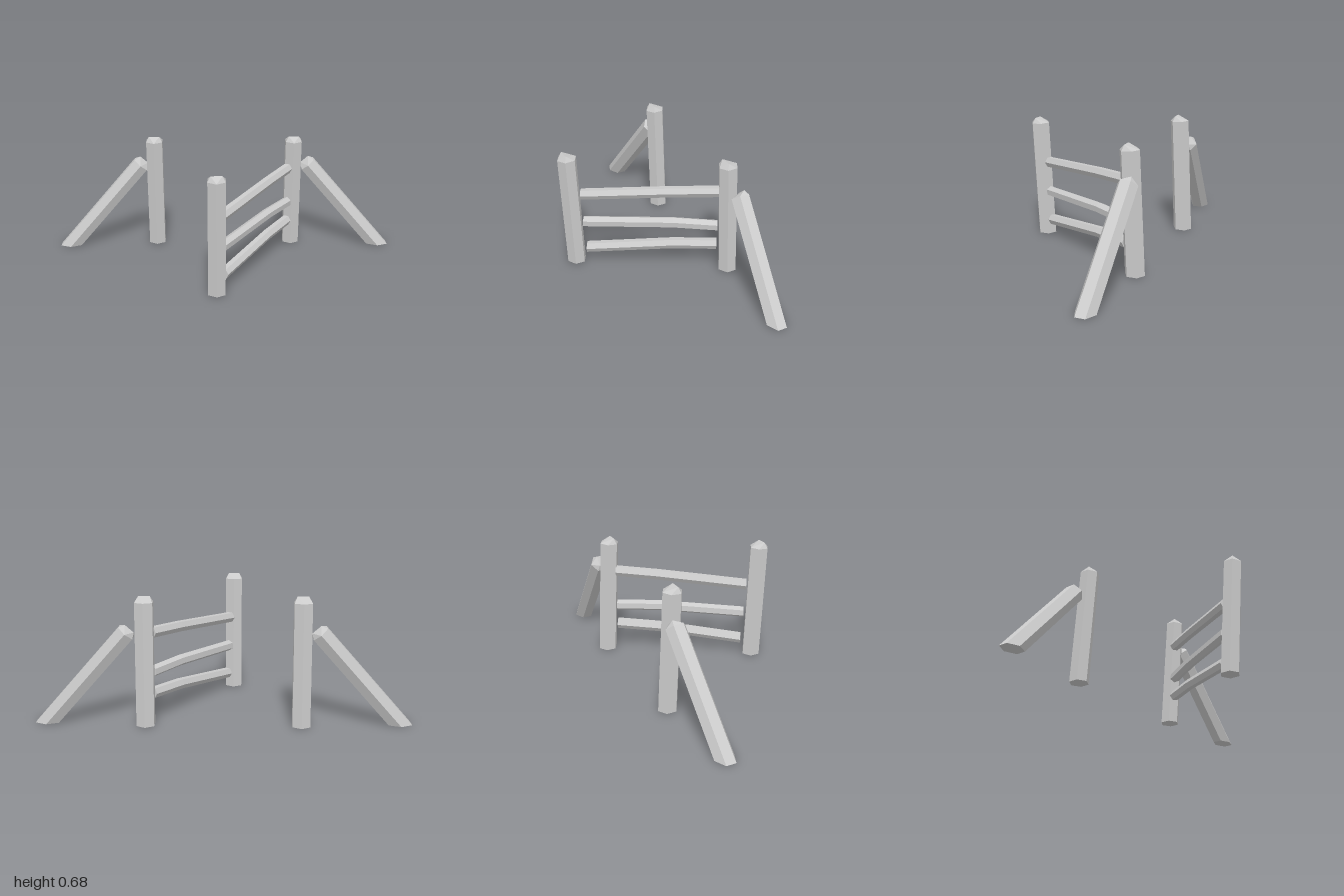
import * as THREE from 'three';

const V = (x, y, z) => new THREE.Vector3(x, y, z);
const material = new THREE.MeshStandardMaterial({ color: 0xcccccc, flatShading: true });

// Skin a list of equal-sized rings, closing the first and (optionally) last ring.
function loft(name, rings, closeTop) {
  const pos = [];
  const tri = (a, b, c) => {
    if (a.equals(b) || b.equals(c) || a.equals(c)) return;
    for (const p of [a, b, c]) pos.push(p.x, p.y, p.z);
  };
  const n = rings[0].length;
  for (let r = 0; r < rings.length - 1; r++) {
    const lo = rings[r], hi = rings[r + 1];
    for (let i = 0; i < n; i++) {
      const j = (i + 1) % n;
      tri(lo[i], lo[j], hi[i]);
      tri(lo[j], hi[j], hi[i]);
    }
  }
  const first = rings[0], last = rings[rings.length - 1];
  for (let i = 1; i < n - 1; i++) {
    tri(first[0], first[i + 1], first[i]);
    if (closeTop) tri(last[0], last[i], last[i + 1]);
  }
  const geo = new THREE.BufferGeometry();
  geo.setAttribute('position', new THREE.Float32BufferAttribute(pos, 3));
  geo.computeVertexNormals();
  const mesh = new THREE.Mesh(geo, material);
  mesh.name = name;
  return mesh;
}

// Hexagonal timber cut level with the ground, topped by a short off-centre ridge.
function timber(name, base, top, skew) {
  const radius = 0.054, ridge = 0.03;
  const d = top.clone().sub(base).normalize();
  const n = d.clone().cross(V(0, 0, 1)).normalize();
  const w = n.clone().cross(d);
  const topRing = [], baseRing = [];
  for (let i = 0; i < 6; i++) {
    const a = i * Math.PI / 3;
    const p = top.clone()
      .addScaledVector(n, radius * Math.sin(a))
      .addScaledVector(w, radius * Math.cos(a));
    topRing.push(p);
    baseRing.push(p.clone().addScaledVector(d, -p.y / d.y));
  }
  const c = top.clone().addScaledVector(d, 0.03).addScaledVector(w, skew);
  const r = c.clone().addScaledVector(n, ridge);
  const l = c.clone().addScaledVector(n, -ridge);
  return loft(name, [baseRing, topRing, [r, r, r, l, l, l]], false);
}

// Bent hexagonal rail; stations are [z, y] from the back post to the front post.
function rail(name, stations, roll) {
  const radius = 0.031;
  const rings = stations.map(([z, y]) => {
    const ring = [];
    for (let i = 0; i < 6; i++) {
      const a = i * Math.PI / 3 + THREE.MathUtils.degToRad(roll);
      const s = radius * Math.cos(a);
      ring.push(V(0.175 - 0.635 * z + 0.845 * s, y + radius * Math.sin(a), z + 0.535 * s));
    }
    return ring;
  });
  return loft(name, rings, true);
}

export function createModel() {
  const group = new THREE.Group();
  group.name = 'brokenFence';

  // Upright posts, leaning slightly forward
  const posts = [['rightPost', -0.411, -0.374], ['leftPost', 0.407, -0.374], ['frontPost', -0.048, 0.346]];
  for (const [name, x, z] of posts) {
    group.add(timber(name, V(x, 0, z), V(x, 0.651, z + 0.036), 0.016));
  }

  // Slanted braces on both sides
  for (const [name, side] of [['leftBrace', 1], ['rightBrace', -1]]) {
    group.add(timber(name, V(side * 0.935, 0, -0.332), V(side * 0.498, 0.5, -0.366), -0.016));
  }

  // Rails of the open gate
  group.add(rail('topRail', [[-0.315, 0.487], [-0.11, 0.472], [0.318, 0.428]], 2));
  group.add(rail('middleRail', [[-0.315, 0.275], [-0.11, 0.279], [0.308, 0.256]], 25));
  group.add(rail('bottomRail', [[-0.315, 0.157], [-0.11, 0.145], [0.295, 0.089]], 3));

  return group;
}
